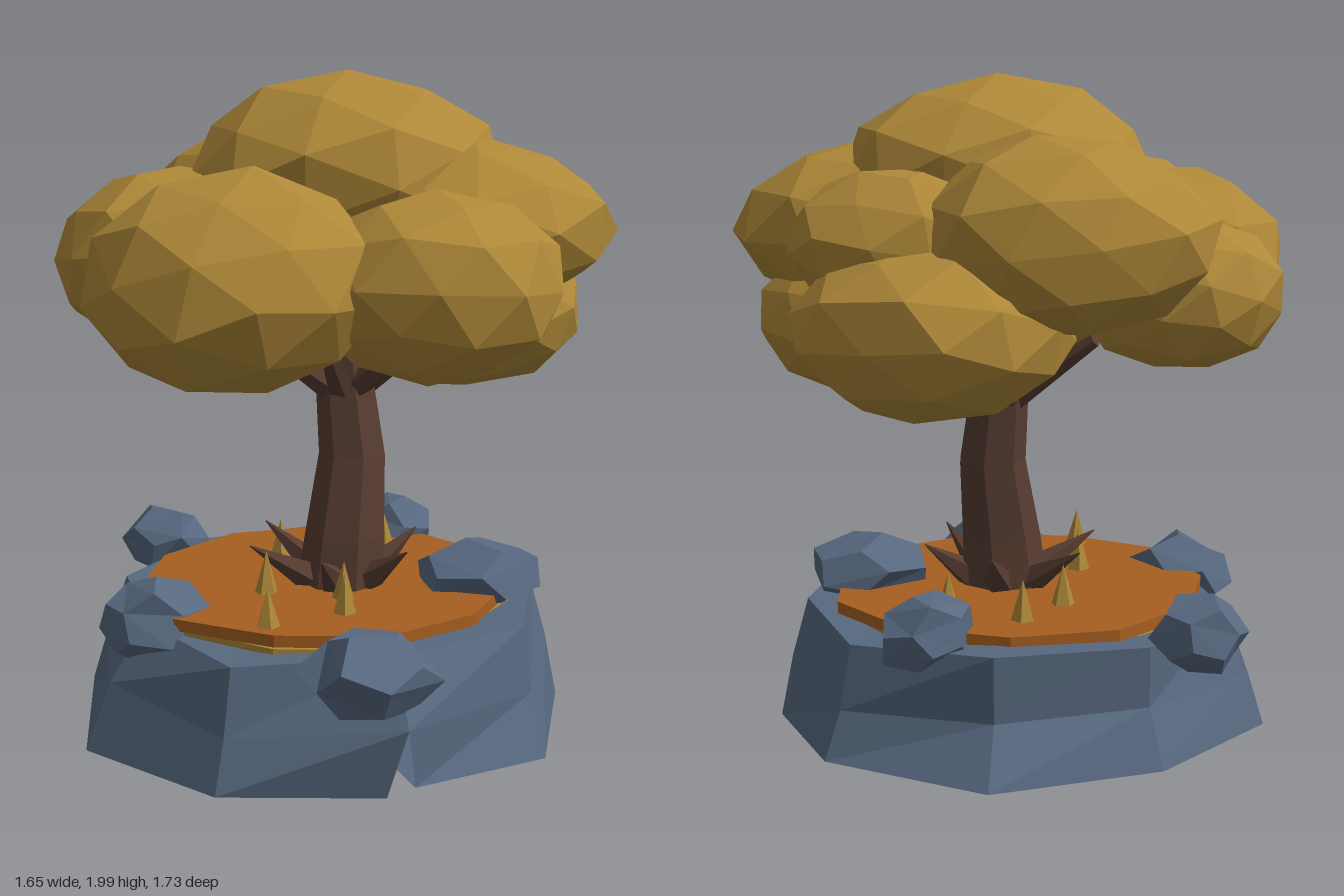
import * as THREE from 'three';

const mat = (name, color) => Object.assign(new THREE.MeshStandardMaterial({ color }), { name });

// Repeatable noise in -1..1
const noise = (a, b, c) => {
  const s = Math.sin(a * 127.1 + b * 311.7 + c * 74.7) * 43758.5453;
  return (s - Math.floor(s)) * 2 - 1;
};

// Flat facets: unshared corners with face normals
function faceted(geo) {
  const g = geo.index ? geo.toNonIndexed() : geo;
  g.computeVertexNormals();
  return g;
}

// Push each corner in or out a little; equal corners move together
function roughen(geo, amount, seed) {
  const p = geo.attributes.position;
  for (let i = 0; i < p.count; i++) {
    const [x, y, z] = [p.getX(i), p.getY(i), p.getZ(i)].map(v => Math.round(v * 1000) / 1000);
    const k = 1 + amount * noise(x + seed, y, z);
    p.setXYZ(i, x * k, y * k, z * k);
  }
  return geo;
}

// Skin between rings of points, closed by a centre point at each end
function loft(rows, bottomCentre, topCentre) {
  const pos = [];
  const tri = (...v) => v.forEach(p => pos.push(...p));
  const last = rows[rows.length - 1];
  for (let i = 0; i < last.length - 1; i++) {
    for (let r = 0; r < rows.length - 1; r++) {
      const [a, b, c, d] = [rows[r][i], rows[r][i + 1], rows[r + 1][i + 1], rows[r + 1][i]];
      tri(a, b, c);
      tri(a, c, d);
    }
    tri(bottomCentre, rows[0][i + 1], rows[0][i]);
    tri(topCentre, last[i], last[i + 1]);
  }
  const g = new THREE.BufferGeometry();
  g.setAttribute('position', new THREE.Float32BufferAttribute(pos, 3));
  g.computeVertexNormals();
  return g;
}

// Tapered stick from one point to another
function stick(from, to, r0, r1, sides) {
  const a = new THREE.Vector3(...from), d = new THREE.Vector3(...to).sub(a);
  const g = new THREE.CylinderGeometry(r1, r0, d.length(), sides);
  g.translate(0, d.length() / 2, 0);
  g.applyQuaternion(new THREE.Quaternion().setFromUnitVectors(new THREE.Vector3(0, 1, 0), d.normalize()));
  g.translate(a.x, a.y, a.z);
  return faceted(g);
}

export function createModel() {
  const model = new THREE.Group();
  model.name = 'treeOnRock';
  const leaf = mat('goldLeaf', 0xae8838);
  const soil = mat('orangeGround', 0xa65f20);
  const bark = mat('brownBark', 0x573c31);
  const stone = mat('blueGreyStone', 0x57687f);
  stone.side = THREE.DoubleSide;

  const group = name => {
    const g = new THREE.Group();
    g.name = name;
    model.add(g);
    return g;
  };
  const add = (parent, name, geo, material) => {
    const m = new THREE.Mesh(geo, material);
    m.name = name;
    parent.add(m);
    return m;
  };

  // Rock base: nine uneven sides with an open split at the front
  const ring = (radii, heights) => radii.map((r, i) => {
    const t = i * Math.PI * 2 / 9;
    return [Math.sin(t) * r, heights[i], Math.cos(t) * r];
  });
  const bottom = ring([0.77, 0.8, 0.75, 0.78, 0.81, 0.74, 0.78, 0.81, 0.81, 0.73],
    [0.05, 0.03, 0.01, 0.05, 0.06, 0.05, 0.04, 0.01, 0.03, 0.01]);
  bottom[0][0] = 0.02;
  bottom[1] = [0.47, 0.03, 0.65];
  bottom[9][0] = -0.05;
  const middle = ring([0.77, 0.72, 0.71, 0.72, 0.67, 0.67, 0.73, 0.73, 0.75, 0.77],
    [0.22, 0.2, 0.21, 0.19, 0.21, 0.22, 0.2, 0.21, 0.18, 0.22]);
  const top = ring([0.66, 0.69, 0.66, 0.68, 0.68, 0.67, 0.66, 0.61, 0.7, 0.66],
    [0.4, 0.4, 0.39, 0.38, 0.41, 0.4, 0.39, 0.38, 0.375, 0.4]);
  add(model, 'rockBase', loft([bottom, middle, top], [0, 0.02, 0], [0, 0.385, 0]), stone);

  // Ground disc with a thin golden layer beneath
  const disc = (name, r, y0, y1, material) => {
    const g = new THREE.CylinderGeometry(r, r, y1 - y0, 11);
    const p = g.attributes.position;
    for (let i = 0; i < p.count; i++) {
      const x = p.getX(i), z = p.getZ(i);
      const k = 1 + 0.04 * noise(Math.round(x * 100), Math.round(z * 100), 2);
      p.setXYZ(i, x * k, p.getY(i), z * k);
    }
    add(model, name, faceted(g.translate(0, (y0 + y1) / 2, 0)), material);
  };
  disc('goldUnderlayer', 0.57, 0.37, 0.397, leaf);
  disc('ground', 0.58, 0.397, 0.433, soil);

  // Boulders: x, y, z, then half sizes
  const boulders = group('boulders');
  [
    [-0.08, 0.355, 0.66, 0.19, 0.135, 0.16],
    [-0.58, 0.395, 0.11, 0.16, 0.125, 0.16],
    [-0.385, 0.42, -0.61, 0.13, 0.11, 0.14],
    [0.385, 0.43, -0.45, 0.14, 0.115, 0.12],
    [0.44, 0.455, 0.17, 0.2, 0.11, 0.17],
  ].forEach(([x, y, z, a, b, c], i) => {
    const g = roughen(new THREE.DodecahedronGeometry(1, 0), 0.12, i + 1);
    g.rotateY(i * 1.3).rotateX(0.3).scale(a * 1.05, b * 1.05, c * 1.05).translate(x, y, z);
    add(boulders, 'boulder', faceted(g), stone);
  });

  // Curved trunk: x, y, z, radius up its length
  const sides = 7;
  const trunkRings = [
    [0.04, 0.41, 0.03, 0.14], [0.055, 0.58, 0.025, 0.127],
    [0.09, 0.83, -0.01, 0.106], [0.075, 1.07, -0.045, 0.092], [0.06, 1.28, -0.04, 0.07],
  ].map(([x, y, z, r]) => Array.from({ length: sides + 1 }, (_, i) => {
    const t = (i % sides) * Math.PI * 2 / sides;
    return [x + Math.sin(t) * r, y, z + Math.cos(t) * r];
  }));
  add(model, 'trunk', loft(trunkRings, [0.04, 0.41, 0.03], [0.06, 1.28, -0.04]), bark);

  // Branches fan out under the crown, pointed roots rise around the foot
  const branches = group('branches'), roots = group('roots');
  for (let i = 0; i < 7; i++) {
    const t = i * Math.PI * 2 / 7 + 0.4, s = Math.sin(t), c = Math.cos(t);
    add(branches, 'branch', stick([0.07 + s * 0.04, 1.03, -0.04 + c * 0.04],
      [0.07 + s * 0.32, 1.23, -0.04 + c * 0.32], 0.045, 0.02, 5), bark);
  }
  for (let i = 0; i < 6; i++) {
    const t = i * Math.PI / 3 + 0.6, s = Math.sin(t), c = Math.cos(t);
    add(roots, 'root', stick([0.04 + s * 0.07, 0.43, 0.03 + c * 0.07],
      [0.02 + s * 0.28, 0.57, 0.02 + c * 0.28], 0.06, 0.002, 5), bark);
  }

  // Grass spikes
  const grass = group('grass');
  [[-0.3, 0.39], [-0.05, 0.34], [-0.01, 0.21], [-0.22, 0.09],
    [0.085, -0.39], [0.28, -0.26], [-0.07, -0.27]].forEach(([x, z], i) => {
    const h = 0.13 + 0.012 * noise(i, 3, 5);
    const g = new THREE.ConeGeometry(0.037, h, 5).rotateY(i).translate(x, 0.43 + h / 2, z);
    add(grass, 'grassSpike', faceted(g), leaf);
  });

  // Crown of overlapping leaf clumps: x, y, z, then half sizes
  const crown = group('crown');
  [
    [0.065, 1.69, 0.01, 0.485, 0.305, 0.465],
    [-0.39, 1.44, 0.38, 0.43, 0.32, 0.41],
    [-0.43, 1.465, -0.03, 0.4, 0.275, 0.37],
    [0.16, 1.42, 0.49, 0.38, 0.265, 0.39],
    [0.36, 1.55, 0.17, 0.47, 0.265, 0.42],
    [0.42, 1.28, 0.07, 0.36, 0.245, 0.34],
    [0.35, 1.31, -0.4, 0.41, 0.26, 0.42],
    [-0.015, 1.56, -0.47, 0.43, 0.275, 0.415],
    [0.4, 1.53, -0.25, 0.33, 0.22, 0.31],
    [-0.42, 1.37, -0.29, 0.31, 0.23, 0.32],
    [0.02, 1.45, 0.02, 0.46, 0.3, 0.46],
  ].forEach(([x, y, z, a, b, c], i) => {
    const g = roughen(new THREE.IcosahedronGeometry(1, 1), 0.05, i * 1.7);
    g.rotateY(i * 0.9).rotateZ(i * 0.5).scale(a, b, c).translate(x, y, z);
    add(crown, 'leafClump', faceted(g), leaf);
  });

  return model;
}
